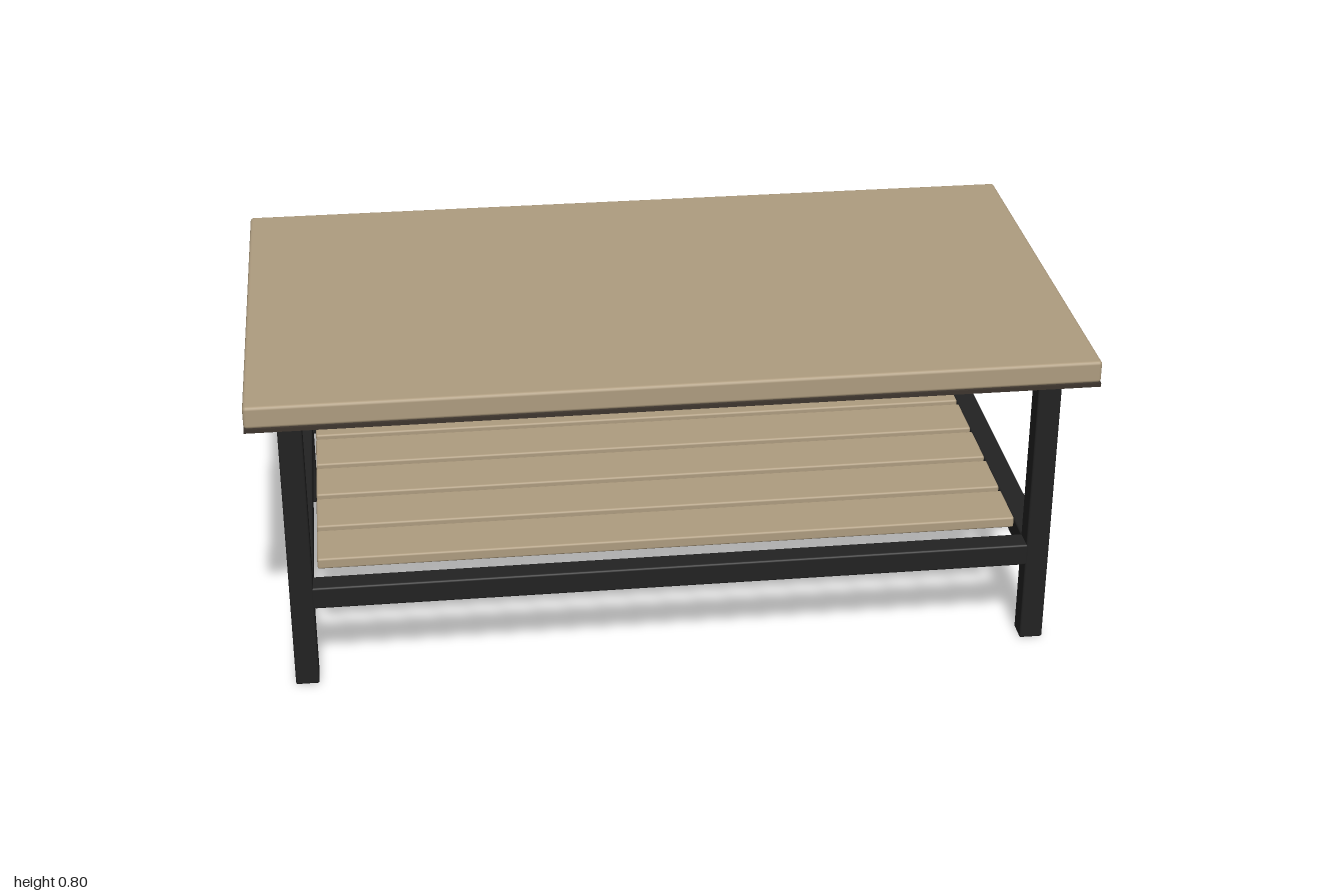
import * as THREE from 'three';
import { RoundedBoxGeometry } from 'three/addons/geometries/RoundedBoxGeometry.js';

export function createModel() {
  const table = new THREE.Group();
  table.name = 'coffeeTable';

  const material = (name, color) => {
    const m = new THREE.MeshStandardMaterial({ color });
    m.name = name;
    return m;
  };
  const wood = material('paleWood', 0xae9c7f);
  const metal = material('blackMetal', 0x222222);
  const backing = material('darkBrown', 0x3d352e);

  // Softly rounded block given by its size and centre
  const block = (name, mat, [w, h, d], [x, y, z], radius = 0.005) => {
    const mesh = new THREE.Mesh(new RoundedBoxGeometry(w, h, d, 2, radius), mat);
    mesh.name = name;
    mesh.position.set(x, y, z);
    table.add(mesh);
  };

  const bar = 0.057, legX = 0.9, legZ = 0.45;

  // Table top on its thin backing board
  block('tableTop', wood, [2, 0.055, 1.1], [0, 0.7725, 0], 0.008);
  const board = new THREE.Mesh(new THREE.BoxGeometry(2, 0.01, 1.1), backing);
  board.name = 'backingBoard';
  board.position.y = 0.74;
  table.add(board);

  for (const sx of [-1, 1]) {
    // Legs
    for (const sz of [-1, 1]) {
      block('leg', metal, [bar, 0.736, bar], [sx * legX, 0.368, sz * legZ]);
    }
    // End frames: upper and lower crossbars
    const span = 2 * legZ - bar + 0.01;
    block('upperCrossbar', metal, [bar, 0.054, span], [sx * legX, 0.709, 0]);
    block('lowerCrossbar', metal, [bar, bar, span], [sx * legX, 0.241, 0]);
  }

  // Long lower rails, front and back
  for (const sz of [-1, 1]) {
    block('longRail', metal, [2 * legX - bar + 0.01, bar, bar], [0, 0.241, sz * legZ]);
  }

  // Shelf slats
  for (let i = -2; i <= 2; i++) {
    block('shelfSlat', wood, [1.72, 0.028, 0.14], [0, 0.284, i * 0.16]);
  }

  return table;
}
